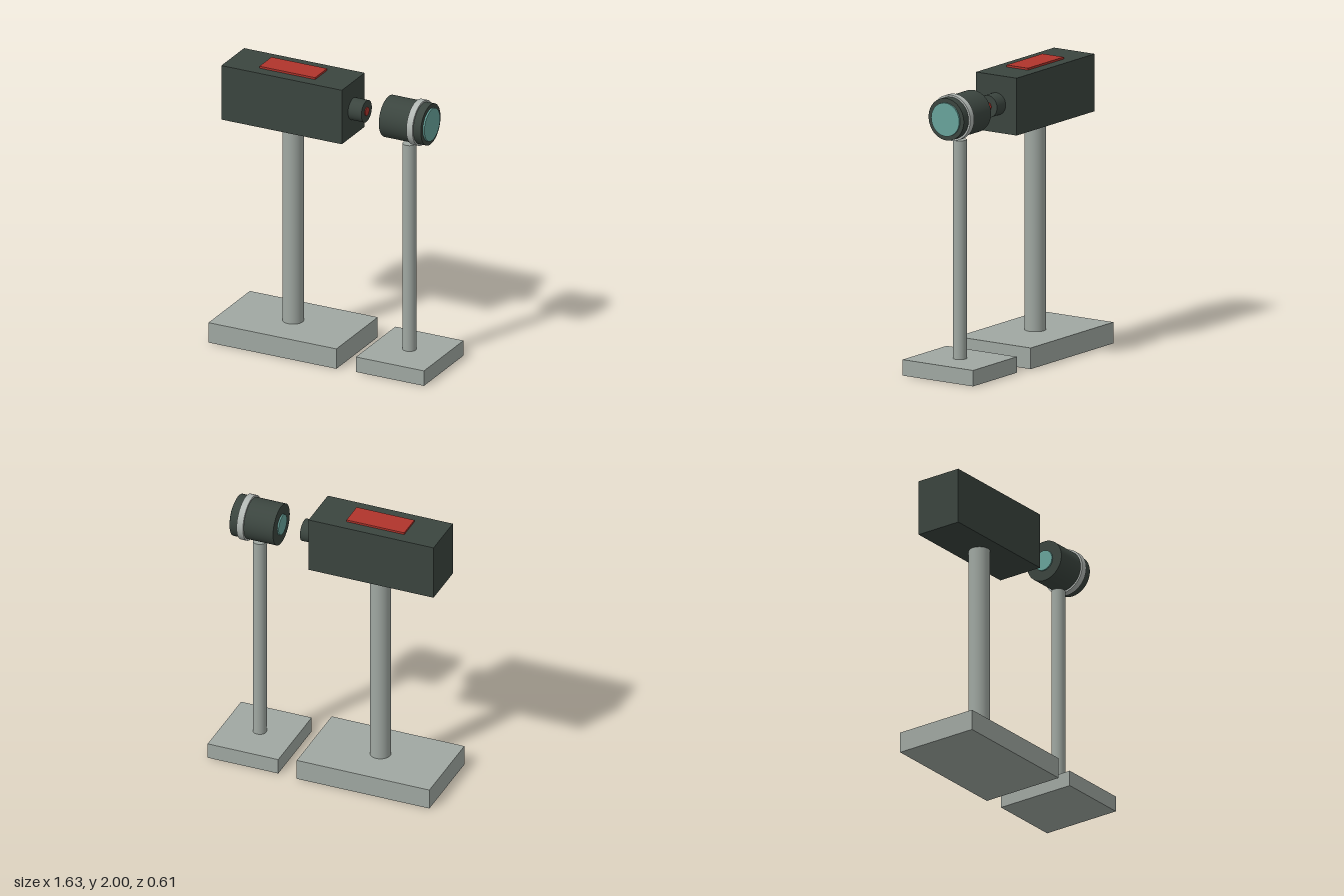
import * as THREE from 'three';

const material = (name, color) => {
  const m = new THREE.MeshStandardMaterial({ color });
  m.name = name;
  return m;
};

export function createModel() {
  const model = new THREE.Group();
  model.name = 'laserAndLensBench';

  const housing = material('darkHousing', 0x3b453f);
  const metal = material('greyMetal', 0xa0a8a2);
  const trim = material('paleMetal', 0xb2b8b4);
  const red = material('red', 0xb0342c);
  const glass = material('tealGlass', 0x68a39b);

  const add = (parent, name, geometry, mat) => {
    const mesh = new THREE.Mesh(geometry, mat);
    mesh.name = name;
    parent.add(mesh);
    return mesh;
  };
  // Box given by its x and y extents, centred on z
  const box = (parent, name, mat, x0, x1, y0, y1, halfZ) =>
    add(parent, name, new THREE.BoxGeometry(x1 - x0, y1 - y0, halfZ * 2), mat)
      .position.set((x0 + x1) / 2, (y0 + y1) / 2, 0);
  // Upright post
  const post = (parent, name, mat, x, y0, y1, r) =>
    add(parent, name, new THREE.CylinderGeometry(r, r, y1 - y0, 48), mat)
      .position.set(x, (y0 + y1) / 2, 0);
  // Cylinder lying along the optical axis
  const axisY = 1.788;
  const barrel = (parent, name, mat, x0, x1, r) =>
    add(parent, name, new THREE.CylinderGeometry(r, r, x1 - x0, 64).rotateZ(-Math.PI / 2), mat)
      .position.set((x0 + x1) / 2, axisY, 0);

  // Emitter: base, post, housing with top plate and nozzle
  const emitter = new THREE.Group();
  emitter.name = 'emitterStand';
  box(emitter, 'emitterBase', metal, -0.815, 0.155, 0, 0.146, 0.303);
  post(emitter, 'emitterPost', metal, -0.33, 0.146, 1.59, 0.072);
  box(emitter, 'emitterHousing', housing, -0.788, 0.126, 1.59, 1.986, 0.167);
  box(emitter, 'topPlate', red, -0.54, -0.118, 1.986, 2, 0.088);
  barrel(emitter, 'nozzle', housing, 0.126, 0.227, 0.077);
  barrel(emitter, 'aperture', red, 0.227, 0.233, 0.03);

  // Lens: base, thin post, barrel with ring and a glass at each end
  const lens = new THREE.Group();
  lens.name = 'lensStand';
  box(lens, 'lensBase', metal, 0.296, 0.812, 0, 0.11, 0.29);
  post(lens, 'lensPost', metal, 0.553, 0.11, 1.62, 0.047);
  barrel(lens, 'lensBarrel', housing, 0.395, 0.713, 0.145);
  barrel(lens, 'lensRing', trim, 0.61, 0.656, 0.158);
  barrel(lens, 'frontGlass', glass, 0.713, 0.725, 0.115);
  barrel(lens, 'rearGlass', glass, 0.385, 0.395, 0.072);

  model.add(emitter, lens);
  return model;
}
